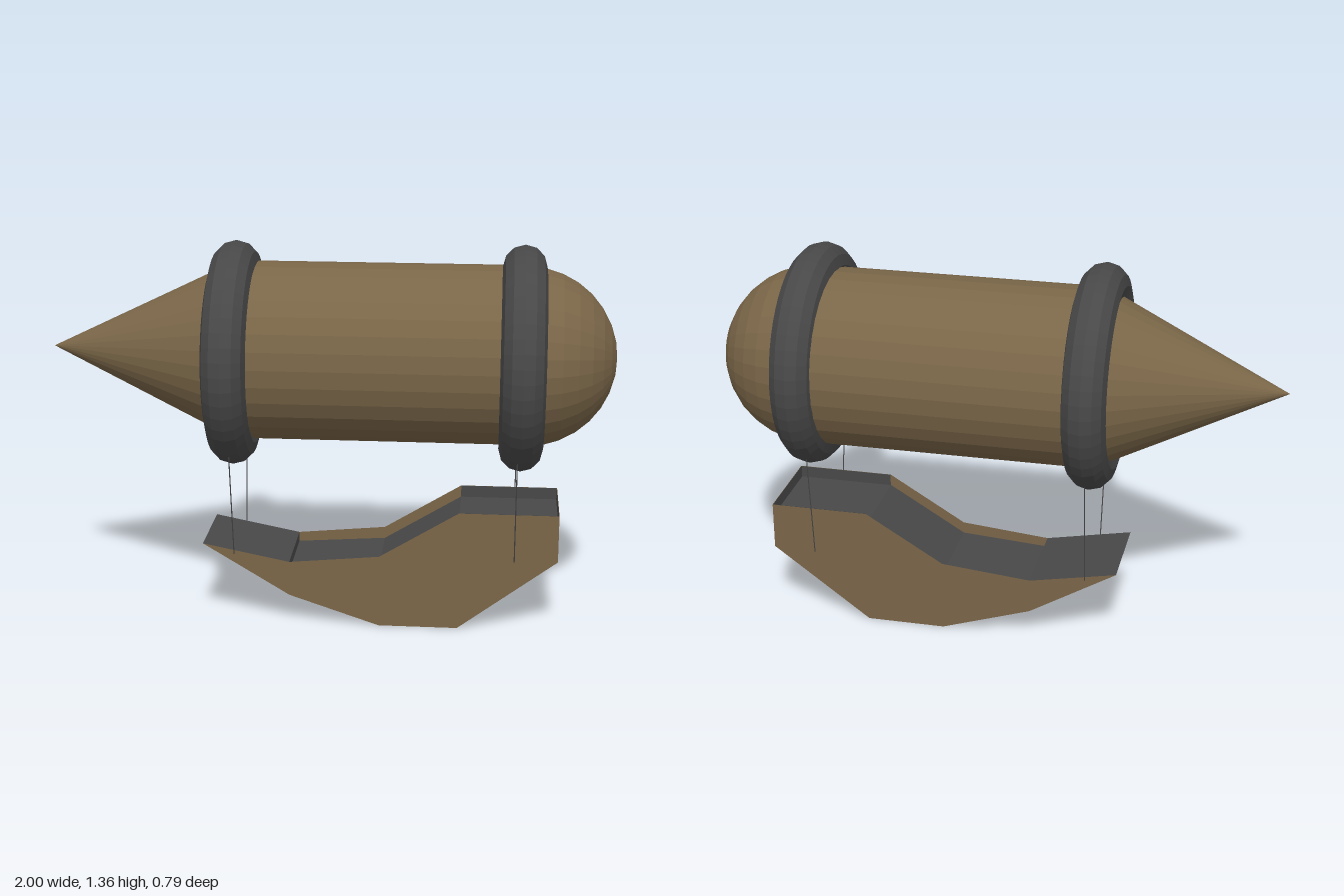
import * as THREE from 'three';

const brown = new THREE.MeshStandardMaterial({ color: 0x7a6648, flatShading: true, side: THREE.DoubleSide });
const dark = new THREE.MeshStandardMaterial({ color: 0x484848, flatShading: true, side: THREE.DoubleSide });

const AXIS_Y = 0.965, AXIS_Z = -0.025; // envelope axis and hull centre line
const HALF = 0.165; // half the hull width

function add(parent, name, geometry, material, x = 0, y = 0, z = 0) {
  const mesh = new THREE.Mesh(geometry, material);
  mesh.name = name;
  mesh.position.set(x, y, z);
  parent.add(mesh);
  return mesh;
}

// Sheet spanning the hull width along a side-on polyline
function strip(points) {
  const pos = [], index = [];
  points.forEach(([x, y], i) => {
    pos.push(x, y, HALF, x, y, -HALF);
    if (i) {
      const a = 2 * i - 2;
      index.push(a, a + 2, a + 1, a + 1, a + 2, a + 3);
    }
  });
  const g = new THREE.BufferGeometry();
  g.setAttribute('position', new THREE.Float32BufferAttribute(pos, 3));
  g.setIndex(index);
  g.computeVertexNormals();
  return g;
}

// Thin straight cord between two points
function cord(parent, from, to) {
  const a = new THREE.Vector3(...from), b = new THREE.Vector3(...to);
  const dir = b.clone().sub(a);
  const mesh = add(parent, 'cord', new THREE.CylinderGeometry(0.002, 0.002, dir.length(), 4), dark);
  mesh.position.copy(a).add(b).multiplyScalar(0.5);
  mesh.quaternion.setFromUnitVectors(new THREE.Vector3(0, 1, 0), dir.normalize());
}

export function createModel() {
  const model = new THREE.Group();
  model.name = 'airship';

  // Envelope: body, pointed end and domed end
  const envelope = new THREE.Group();
  envelope.name = 'envelope';
  model.add(envelope);
  const body = new THREE.CylinderGeometry(0.315, 0.315, 1.025, 32, 1, true).rotateZ(Math.PI / 2);
  add(envelope, 'body', body, brown, 0.1675, AXIS_Y, AXIS_Z);
  const cone = new THREE.ConeGeometry(0.315, 0.655, 32).rotateZ(Math.PI / 2);
  add(envelope, 'pointedEnd', cone, brown, -0.6725, AXIS_Y, AXIS_Z);
  const dome = new THREE.SphereGeometry(0.315, 32, 8, 0, Math.PI * 2, 0, Math.PI / 2).rotateZ(-Math.PI / 2);
  add(envelope, 'domedEnd', dome, brown, 0.68, 0.962, -0.018);

  // Rings around the envelope
  for (const x of [-0.342, 0.668]) {
    add(model, 'ring', new THREE.TorusGeometry(0.318, 0.077, 12, 48).rotateY(Math.PI / 2), dark, x, 0.96, 0);
  }

  // Hull: two thin side plates, bottom shell and sunken deck
  const hull = new THREE.Group();
  hull.name = 'hull';
  hull.position.z = AXIS_Z;
  model.add(hull);
  const rim = [[-0.45, 0.29], [-0.14, 0.23], [0.18, 0.26], [0.46, 0.43], [0.81, 0.43]];
  const keel = [[-0.45, 0.29], [-0.14, 0.105], [0.18, 0], [0.46, 0], [0.81, 0.26], [0.81, 0.43]];
  const outline = [...rim, ...keel.slice(1, -1).reverse()].map(p => new THREE.Vector2(...p));
  for (const s of [1, -1]) {
    add(hull, 'sidePlate', new THREE.ShapeGeometry(new THREE.Shape(outline)), brown, 0, 0, s * HALF);
  }
  add(hull, 'bottomShell', strip(keel), brown);
  add(hull, 'deck', strip([[-0.45, 0.29], [-0.14, 0.23], [-0.14, 0.195], [0.18, 0.217], [0.46, 0.387], [0.808, 0.387], [0.808, 0.43]]), dark);

  // Dark lining inside the raised end
  for (const s of [1, -1]) {
    add(hull, 'trayLining', new THREE.PlaneGeometry(0.348, 0.043), dark, 0.634, 0.4085, s * (HALF - 0.002));
  }

  // Cords from the rings to the hull sides
  for (const x of [-0.338, 0.657]) {
    for (const s of [1, -1]) {
      cord(model, [x, 0.66, s * 0.235], [x, 0.255, AXIS_Z + s * (HALF + 0.001)]);
    }
  }
  return model;
}
